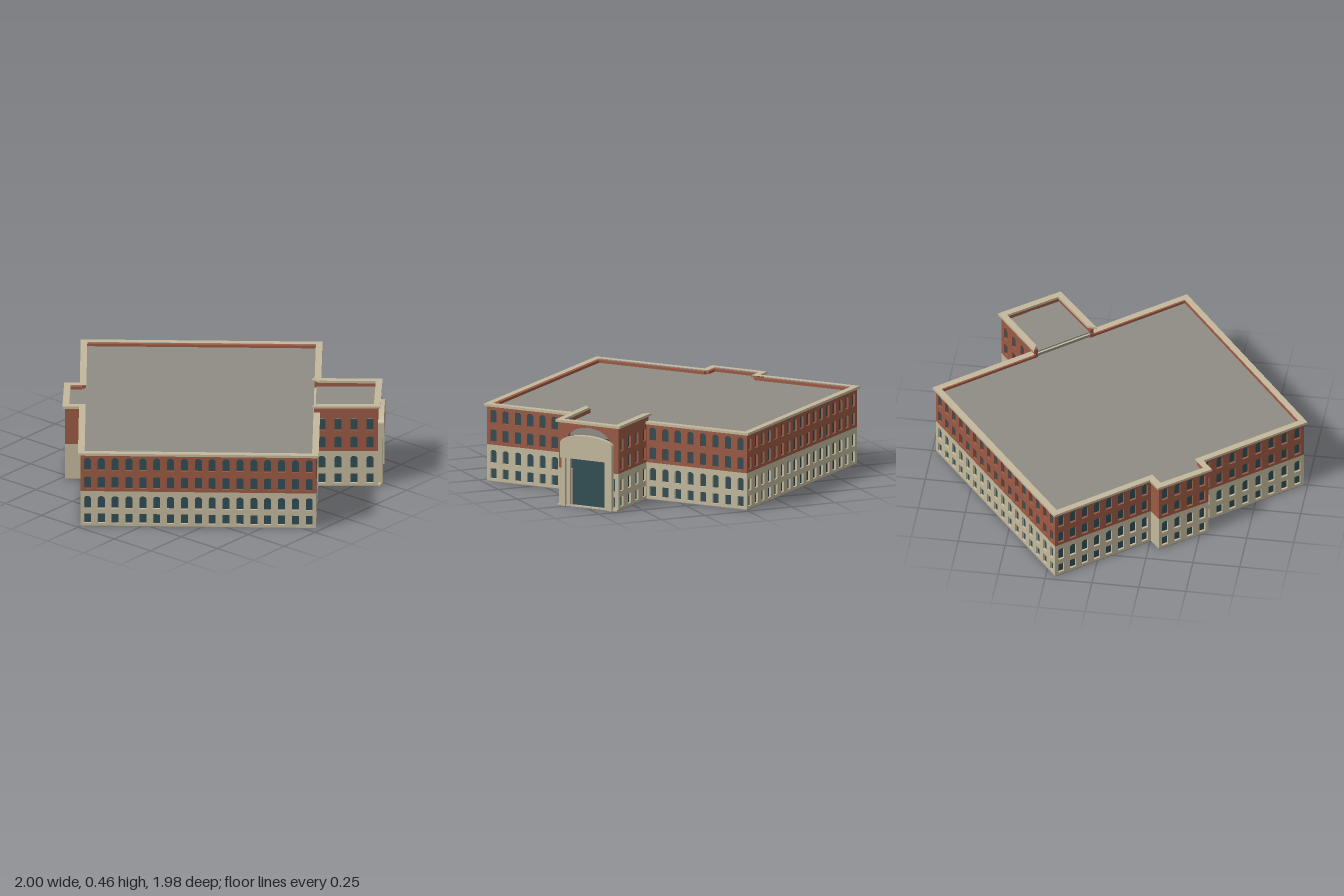
import * as THREE from 'three';

const mat = (name, color) => {
  const m = new THREE.MeshStandardMaterial({ color });
  m.name = name;
  return m;
};

export function createModel() {
  const model = new THREE.Group();
  model.name = 'building';
  const stone = mat('stone', 0xc4b99d);
  const brick = mat('brick', 0x9c5a44);
  const glass = mat('dark teal glass', 0x314d54);
  const roofing = mat('grey roofing', 0x908d85);
  const T = 0.02; // wall thickness

  // Plan corners as [x, z]; walking along them keeps the outside on the right
  const S = [-0.207, 0.973], E = [0.98, 0], N = [0.2, -0.975], W = [-0.98, 0];
  const P1 = [0.242, 0.605], F1 = [0.447, 0.848], F2 = [0.725, 0.628], P2 = [0.521, 0.376];
  const Q1 = [0.229, 0.589], Q2 = [0.508, 0.36]; // wing sides carried a little over the main roof
  const B1 = [-0.254, -0.599], C1 = [-0.306, -0.663], C2 = [-0.543, -0.475], B2 = [-0.488, -0.407];
  const mainPlan = [S, P1, P2, E, N, B1, C1, C2, B2, W];
  const wingPlan = [Q1, F1, F2, Q2];

  const add = (parent, name, geometry, material) => {
    const mesh = new THREE.Mesh(geometry, material);
    mesh.name = name;
    parent.add(mesh);
    return mesh;
  };
  const vecs = (pts) => pts.map(([x, y]) => new THREE.Vector2(x, y));

  // Mitred offset of a closed plan, outward for positive d
  function offset(plan, d) {
    const normal = (a, b) => {
      const l = Math.hypot(b[0] - a[0], b[1] - a[1]);
      return [-(b[1] - a[1]) / l, (b[0] - a[0]) / l];
    };
    return plan.map((p, i) => {
      const m = normal(plan.at(i - 1), p), n = normal(p, plan[(i + 1) % plan.length]);
      const k = d / (1 + m[0] * n[0] + m[1] * n[1]);
      return [p[0] + (m[0] + n[0]) * k, p[1] + (m[1] + n[1]) * k];
    });
  }

  // Horizontal slab from a plan, with an optional hole
  function slab(name, plan, y0, y1, material, hole) {
    const shape = new THREE.Shape(vecs(plan));
    if (hole) shape.holes.push(new THREE.Path(vecs(hole)));
    const g = new THREE.ExtrudeGeometry(shape, { depth: y1 - y0, bevelEnabled: false });
    g.rotateX(Math.PI / 2).translate(0, y1, 0);
    return add(model, name, g, material);
  }

  // Window outline, with an arched head when rise > 0
  function opening(x, y0, y1, w, rise) {
    const p = new THREE.Path();
    p.moveTo(x - w / 2, y0);
    p.lineTo(x + w / 2, y0);
    p.lineTo(x + w / 2, y1 - rise);
    if (rise) p.absellipse(x, y1 - rise, w / 2, rise, 0, Math.PI, false, 0);
    else p.lineTo(x - w / 2, y1);
    p.closePath();
    return p;
  }

  // Flat wall piece whose outer face lies at z = 0
  function panel(parent, name, shape, material) {
    const g = new THREE.ExtrudeGeometry(shape, { depth: T, bevelEnabled: false, curveSegments: 8 });
    return add(parent, name, g.translate(0, 0, -T), material);
  }
  const rect = (x0, x1, y0, y1) => new THREE.Shape(vecs([[x0, y0], [x1, y0], [x1, y1], [x0, y1]]));

  // Group placed so that local x runs from a to b and +z points outward
  function facade(name, a, b) {
    const g = new THREE.Group();
    g.name = name;
    g.position.set(a[0], 0, a[1]);
    g.rotation.y = Math.atan2(a[1] - b[1], b[0] - a[0]);
    model.add(g);
    return [g, Math.hypot(b[0] - a[0], b[1] - a[1])];
  }
  function glazing(parent, L, top) {
    const g = new THREE.PlaneGeometry(L - 0.008, top - 0.006);
    add(parent, 'glazing', g.translate(L / 2, top / 2 + 0.003, -0.012), glass);
  }

  // Storeys: [bottom, top, arch rise]
  const stoneRows = [[0.018, 0.072, 0], [0.102, 0.172, 0.014]];
  const brickRows = [[0.216, 0.282, 0.005], [0.318, 0.39, 0.018]];

  // Regular wall: stone base, brick above, n bays of windows
  function wall(name, a, b, n, top) {
    const [g, L] = facade(name, a, b);
    const bands = [['stoneBase', 0.003, 0.2, stoneRows, stone], ['brickStoreys', 0.2, top, brickRows, brick]];
    for (const [part, y0, y1, rows, material] of bands) {
      const shape = rect(0, L, y0, y1);
      for (let i = 0; i < n; i++)
        for (const [w0, w1, rise] of rows)
          shape.holes.push(opening(((i + 0.5) * L) / n, w0, w1, 0.037, rise));
      panel(g, part, shape, material);
    }
    if (n) glazing(g, L, 0.4);
  }

  const mainTop = 0.409, wingTop = 0.449;
  wall('frontWallRight', S, P1, 8, mainTop);
  wall('frontWallLeft', P2, E, 8, mainTop);
  wall('leftWall', E, N, 17, mainTop);
  wall('backWallLeft', N, B1, 8, mainTop);
  wall('backBaySideLeft', B1, C1, 0, mainTop);
  wall('backBayWall', C1, C2, 4, mainTop);
  wall('backBaySideRight', C2, B2, 0, mainTop);
  wall('backWallRight', B2, W, 8, mainTop);
  wall('rightWall', W, S, 17, mainTop);
  wall('wingSideRight', Q1, F1, 4, wingTop);
  wall('wingSideLeft', F2, Q2, 4, wingTop);

  // Entrance front of the wing
  const [front, L] = facade('entranceFront', F1, F2);
  const c = L / 2, half = 0.1, archHalf = 0.125;
  for (const [x0, x1, wx] of [[0, c - half, 0.02], [c + half, L, L - 0.02]]) {
    const pier = rect(x0, x1, 0.003, 0.2);
    for (const [y0, y1, rise] of stoneRows) pier.holes.push(opening(wx, y0, y1, 0.022, rise * 0.6));
    panel(front, 'stonePier', pier, stone);
  }
  const upper = new THREE.Shape();
  upper.moveTo(0, 0.2);
  upper.lineTo(c - archHalf, 0.2);
  upper.lineTo(c - archHalf, 0.36);
  upper.absellipse(c, 0.36, archHalf, 0.07, Math.PI, 0, true, 0);
  upper.lineTo(c + archHalf, 0.2);
  upper.lineTo(L, 0.2);
  upper.lineTo(L, wingTop);
  upper.lineTo(0, wingTop);
  panel(front, 'brickArchWall', upper, brick);
  glazing(front, L, 0.44);

  // Arched canopy on posts, with a threshold
  const hood = new THREE.Shape();
  hood.moveTo(c - 0.153, 0.262);
  hood.lineTo(c + 0.153, 0.262);
  hood.lineTo(c + 0.153, 0.345);
  hood.absellipse(c, 0.345, 0.153, 0.045, 0, Math.PI, false, 0);
  const hoodGeo = new THREE.ExtrudeGeometry(hood, { depth: 0.03, bevelEnabled: false, curveSegments: 16 });
  add(front, 'canopy', hoodGeo, stone);
  for (const s of [-1, 1]) {
    add(front, 'outerPost', new THREE.BoxGeometry(0.022, 0.262, 0.024), stone).position.set(c + s * 0.138, 0.131, 0.012);
    add(front, 'innerPost', new THREE.BoxGeometry(0.022, 0.262, 0.016), stone).position.set(c + s * 0.113, 0.131, 0.006);
  }
  add(front, 'threshold', new THREE.BoxGeometry(L, 0.008, 0.014), stone).position.set(c, 0.004, 0.007);

  // Floor and roofs
  slab('floor', offset([S, P1, F1, F2, P2, E, N, B1, C1, C2, B2, W], 0.001), 0, 0.004, roofing);
  slab('mainRoof', offset(mainPlan, -0.012), 0.385, 0.395, roofing);
  slab('wingRoof', offset(wingPlan, -0.01), 0.38, 0.427, roofing);

  // Cornices capping the parapets; the wing one is open towards the main roof
  slab('mainCornice', offset(mainPlan, 0.013), 0.407, 0.42, stone, offset(mainPlan, -0.022));
  const outer = offset(wingPlan, 0.013), inner = offset(wingPlan, -0.022);
  slab('wingCornice', [...outer, ...inner.reverse()], 0.447, 0.46, stone);

  return model;
}
